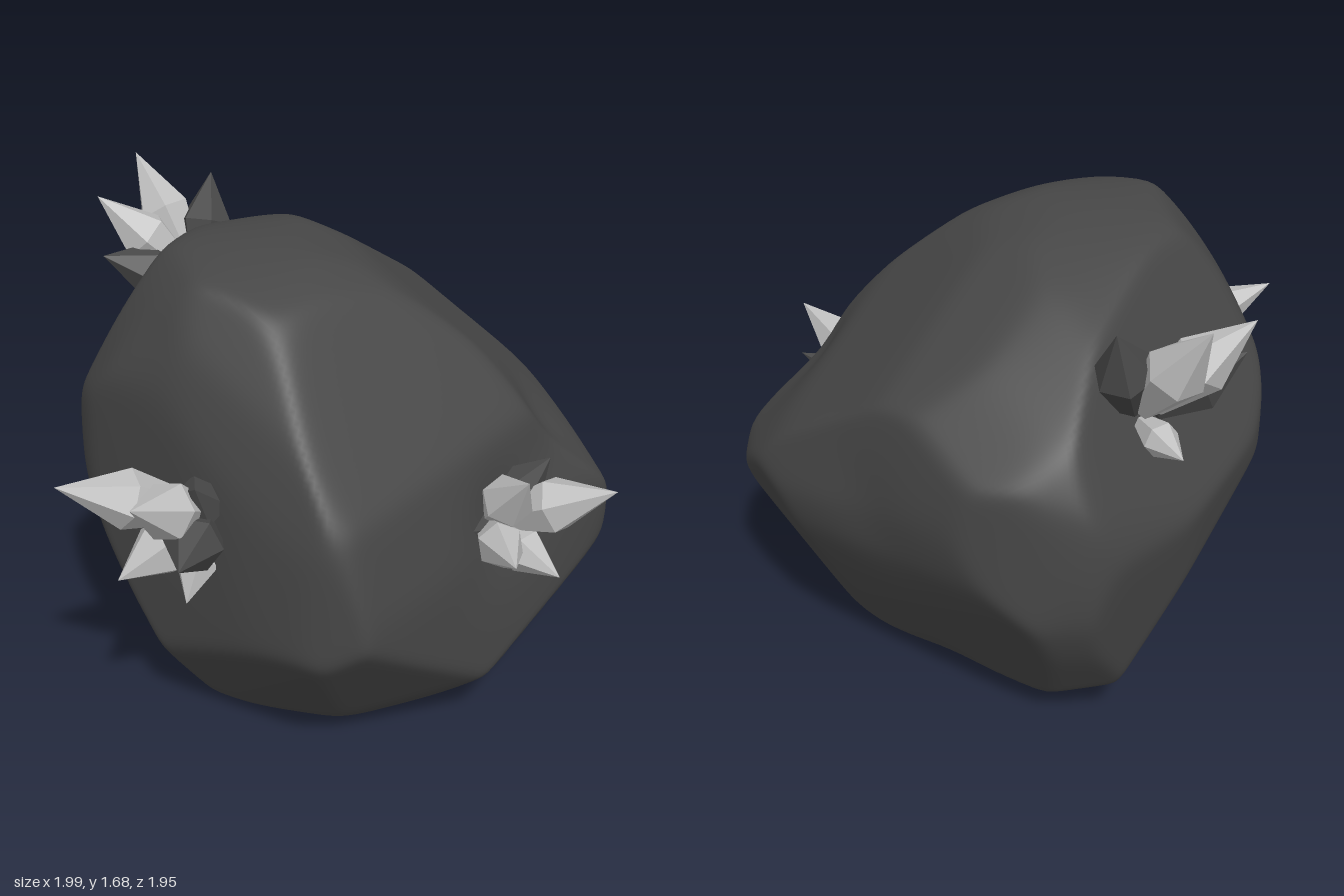
import * as THREE from 'three';
import { mergeVertices } from 'three/addons/utils/BufferGeometryUtils.js';

// The boulder is a rounded intersection of cut planes around its heart
const HEART = new THREE.Vector3(0, 0.8, 0);
const SHARPNESS = 90;

// Facets: outward normal and distance from the heart
const planes = [
  [-0.83, 0.05, 0.55, 0.75],   // front left
  [-0.68, 0.45, -0.58, 0.78],  // upper back left
  [-0.65, -0.2, -0.73, 0.82],  // back left
  [0.65, 0.75, -0.05, 0.74],   // right slope
  [0.35, 0.6, 0.7, 0.71],      // upper front
  [0.49, 0.23, 0.84, 0.735],   // front right
  [0.05, -0.58, 0.8, 0.88],    // lower front
  [-0.6, -0.5, 0.6, 0.82],     // lower front left
  [0.55, -0.8, 0.25, 0.843],   // lower right
  [0.68, -0.2, -0.7, 0.76],    // back right
  [0.8, -0.456, -0.39, 0.815], // lower back right
];

// Adds the planes of a prism with a clockwise convex outline,
// running along the direction given by azimuth and elevation in degrees
function trim(azimuth, elevation, outline) {
  const a = THREE.MathUtils.degToRad(azimuth);
  const e = THREE.MathUtils.degToRad(elevation);
  const right = new THREE.Vector3(Math.cos(a), 0, -Math.sin(a));
  const up = new THREE.Vector3(-Math.sin(e) * Math.sin(a), Math.cos(e), -Math.sin(e) * Math.cos(a));
  const hu = HEART.dot(right);
  const hv = HEART.dot(up);
  outline.forEach(([u, v], i) => {
    const [u2, v2] = outline[(i + 1) % outline.length];
    const len = Math.hypot(u2 - u, v2 - v);
    const nu = (v - v2) / len;
    const nv = (u2 - u) / len;
    const n = right.clone().multiplyScalar(nu).addScaledVector(up, nv);
    planes.push([n.x, n.y, n.z, nu * (u - hu) + nv * (v - hv)]);
  });
}

// Profile from the front
trim(0, 0, [
  [-0.5, 1.64], [-0.33, 1.67], [-0.1, 1.66], [0.1, 1.6], [0.3, 1.5], [0.5, 1.34], [0.85, 0.95],
  [0.95, 0.79], [1, 0.62], [0.97, 0.49], [0.8, 0.3], [0.56, 0.09], [0.1, 0.03], [-0.2, 0],
  [-0.48, 0.04], [-0.62, 0.22], [-0.74, 0.45], [-0.82, 0.7], [-0.84, 0.9], [-0.82, 1.15],
  [-0.7, 1.4], [-0.57, 1.58],
]);
// Profile from the side
trim(90, 0, [
  [-0.45, 1.59], [-0.3, 1.64], [-0.05, 1.67], [0.2, 1.64], [0.5, 1.55], [0.75, 1.4], [0.88, 1.25],
  [0.96, 1.08], [0.98, 0.9], [0.95, 0.66], [0.87, 0.48], [0.62, 0.12], [0.3, 0.07], [-0.35, 0],
  [-0.55, 0.05], [-0.98, 0.65], [-0.98, 0.73], [-0.9, 1.03], [-0.8, 1.2], [-0.6, 1.45],
]);
// Plan
trim(0, 90, [
  [-0.12, 0.98], [0.1, 0.93], [0.29, 0.85], [0.55, 0.58], [0.88, 0.24], [0.97, 0.05], [1, -0.1],
  [0.98, -0.31], [-0.12, -0.97], [-0.3, -0.87], [-0.42, -0.74], [-0.82, 0], [-0.84, 0.12],
  [-0.78, 0.32], [-0.65, 0.55], [-0.45, 0.78], [-0.3, 0.91],
]);
// Diagonal profiles
trim(35, 25, [
  [-0.41, 1.62], [-0.18, 1.65], [0.2, 1.59], [0.46, 1.46], [0.69, 1.28], [0.84, 0.6], [0.65, 0.06],
  [-0.04, -0.2], [-0.37, -0.14], [-0.76, 0.26], [-0.78, 0.64], [-0.74, 1.06], [-0.7, 1.26],
  [-0.59, 1.49],
]);
trim(215, 25, [
  [-0.85, 0.88], [-0.82, 1.01], [-0.14, 1.46], [0.04, 1.54], [0.26, 1.555], [0.52, 1.525],
  [0.67, 1.31], [0.74, 1.07], [0.77, 0.64], [0.72, 0.18], [0.55, 0], [0.29, -0.1], [-0.04, -0.13],
  [-0.32, -0.11], [-0.61, 0.33], [-0.83, 0.74],
]);
trim(140, -30, [
  [-0.94, 0.82], [-0.53, 1.18], [-0.03, 1.45], [0.27, 1.51], [0.59, 1.465], [0.74, 1.23],
  [0.83, 0.86], [0.78, 0.57], [0.56, 0.21], [0.21, -0.21], [0.04, -0.22], [-0.31, -0.17],
  [-0.81, 0.11], [-0.935, 0.64],
]);

// Shallow hollows: direction, depth, width
const dents = [
  [0.5, 0, 0.6, 0.05, 0.25],
  [0.75, 0.2, 0.32, 0.035, 0.22],
  [0.6, 0.1, -0.6, 0.02, 0.25],
  [0.15, -0.72, -0.18, 0.04, 0.22],
].map(([x, y, z, depth, width]) => ({ dir: new THREE.Vector3(x, y, z).normalize(), depth, width }));

// Distance from the heart to the surface, with softened edges
function rockRadius(d) {
  let sum = 0;
  for (const [x, y, z, h] of planes) {
    sum += Math.pow(Math.max(0, (d.x * x + d.y * y + d.z * z) / h), SHARPNESS);
  }
  // The factor makes up for what the softening takes off
  let r = 1.012 * Math.pow(sum, -1 / SHARPNESS);
  for (const { dir, depth, width } of dents) {
    r -= depth * Math.exp(-d.distanceToSquared(dir) / (width * width));
  }
  return r;
}

function rockGeometry() {
  let geo = new THREE.IcosahedronGeometry(1, 50);
  geo.deleteAttribute('uv');
  geo.deleteAttribute('normal');
  geo = mergeVertices(geo, 1e-5);
  const pos = geo.attributes.position;
  const v = new THREE.Vector3();
  for (let i = 0; i < pos.count; i++) {
    v.fromBufferAttribute(pos, i).normalize();
    v.multiplyScalar(rockRadius(v)).add(HEART);
    pos.setXYZ(i, v.x, Math.max(0, v.y), v.z);
  }
  geo.computeVertexNormals();
  return geo;
}

// Clusters: shared root, then crystals as tip x, y, z, radius, dark or not
const CLUSTERS = [
  { name: 'leftCrystals', root: [-0.5, 0.9, 0.43], crystals: [
    [-1.0, 1.11, 0.51, 0.1, 0],
    [-0.8, 1.12, 0.73, 0.1, 0],
    [-0.83, 0.77, 0.56, 0.1, 0],
    [-0.58, 1.1, 0.62, 0.09, 1],
    [-0.67, 0.91, 0.78, 0.1, 1],
    [-0.62, 0.67, 0.6, 0.08, 0],
  ] },
  { name: 'frontCrystals', root: [0.44, 0.74, 0.46], crystals: [
    [0.46, 1.06, 0.79, 0.09, 0],
    [0.37, 0.85, 0.94, 0.08, 0],
    [0.78, 0.97, 0.77, 0.1, 0],
    [0.6, 0.67, 0.77, 0.08, 0],
    [0.62, 1.02, 0.58, 0.09, 1],
    [0.79, 0.83, 0.62, 0.07, 1],
    [0.27, 0.84, 0.68, 0.09, 1],
  ] },
  { name: 'backCrystals', root: [-0.31, 1.25, -0.64], crystals: [
    [-0.48, 1.68, -0.92, 0.1, 0],
    [-0.66, 1.6, -0.7, 0.1, 0],
    [-0.67, 1.42, -0.57, 0.1, 1],
    [-0.42, 1.24, -0.9, 0.06, 0],
    [-0.22, 1.62, -0.8, 0.1, 1],
  ] },
];

// Six-sided shard, widest at the middle and pointed at the tip
function makeCrystal(root, tip, radius, material) {
  const axis = tip.clone().sub(root);
  const len = axis.length();
  const profile = [[0, 0], [radius * 0.5, 0.02], [radius, len * 0.5], [0, len]];
  const geo = new THREE.LatheGeometry(profile.map(([x, y]) => new THREE.Vector2(x, y)), 6);
  const mesh = new THREE.Mesh(geo, material);
  mesh.name = 'crystal';
  mesh.position.copy(root);
  mesh.quaternion.setFromUnitVectors(new THREE.Vector3(0, 1, 0), axis.normalize());
  return mesh;
}

export function createModel() {
  const stone = new THREE.MeshStandardMaterial({ color: 0x474747 });
  stone.name = 'dark stone';
  const light = new THREE.MeshStandardMaterial({ color: 0xbebebe, flatShading: true });
  light.name = 'light crystal';
  const dark = new THREE.MeshStandardMaterial({ color: 0x484848, flatShading: true });
  dark.name = 'dark crystal';

  const model = new THREE.Group();
  model.name = 'crystalBoulder';

  const rock = new THREE.Mesh(rockGeometry(), stone);
  rock.name = 'boulder';
  model.add(rock);

  for (const { name, root, crystals } of CLUSTERS) {
    const cluster = new THREE.Group();
    cluster.name = name;
    const base = new THREE.Vector3(...root);
    for (const [x, y, z, radius, isDark] of crystals) {
      const tip = new THREE.Vector3(x, y, z);
      // Spread the feet a little toward each tip
      const foot = base.clone().lerp(tip, 0.1);
      cluster.add(makeCrystal(foot, tip, radius, isDark ? dark : light));
    }
    model.add(cluster);
  }
  return model;
}
